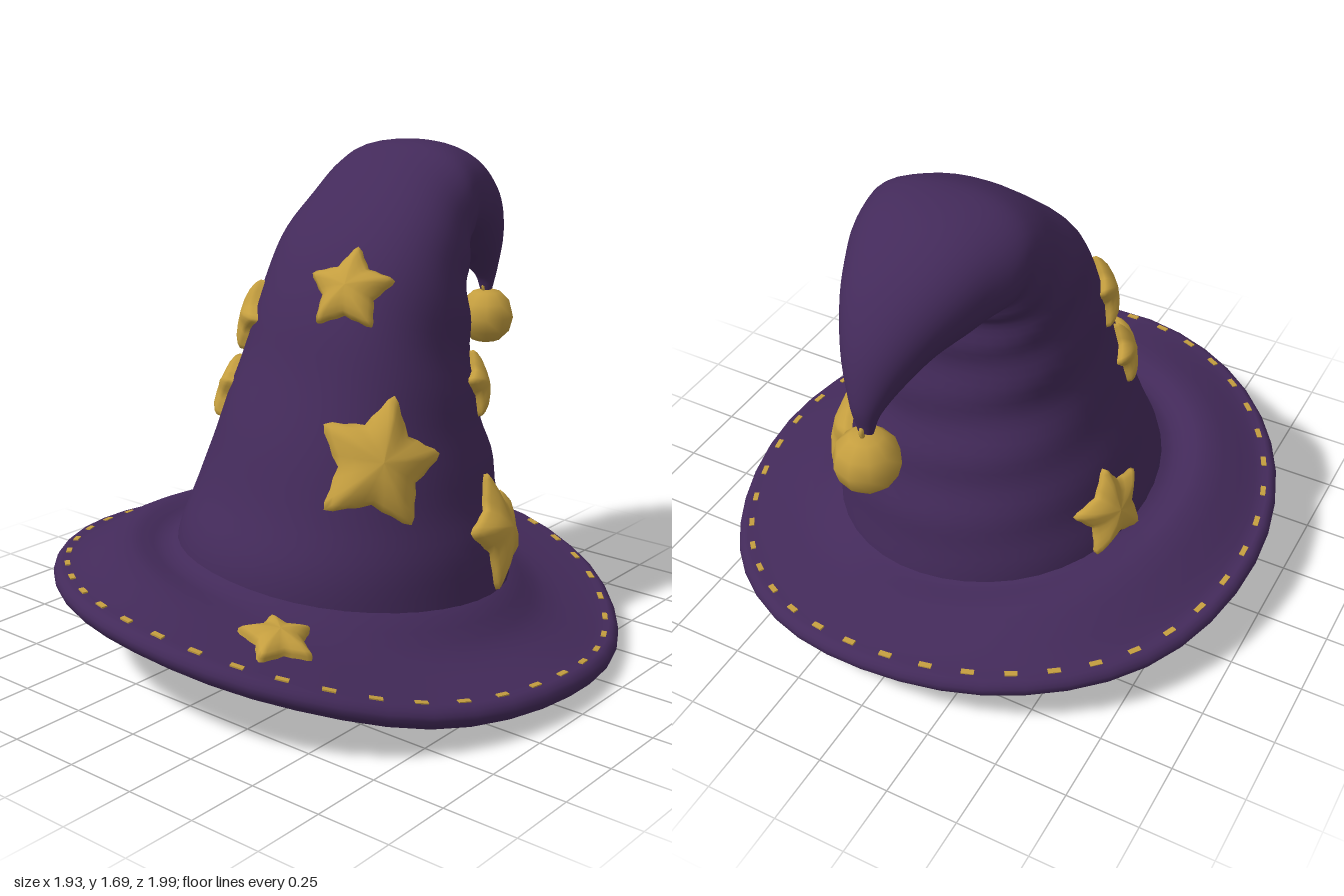
import * as THREE from 'three';

const V = (x, y, z) => new THREE.Vector3(x, y, z);
const TAU = Math.PI * 2;
const purple = new THREE.MeshStandardMaterial({ name: 'purple felt', color: 0x432a5a });
const gold = new THREE.MeshStandardMaterial({ name: 'gold', color: 0xc49e3f });

// Crown sections: front y, front z, back y, back z, half width, centre x
const sections = [
  [0.22, 0.58, 0.18, -0.615, 0.585, 0], [0.42, 0.55, 0.36, -0.595, 0.555, 0],
  [0.6, 0.455, 0.52, -0.56, 0.505, 0], [0.8, 0.365, 0.68, -0.52, 0.455, 0],
  [1.0, 0.265, 0.84, -0.475, 0.405, 0], [1.2, 0.175, 1.0, -0.455, 0.372, -0.01],
  [1.4, 0.04, 1.14, -0.445, 0.352, -0.02], [1.55, -0.13, 1.24, -0.45, 0.325, -0.03],
  [1.66, -0.3, 1.3, -0.47, 0.3, -0.04], [1.7, -0.43, 1.34, -0.5, 0.285, -0.04],
  [1.665, -0.6, 1.32, -0.56, 0.25, -0.035], [1.55, -0.76, 1.28, -0.64, 0.185, -0.02],
  [1.39, -0.87, 1.23, -0.74, 0.115, -0.01], [1.22, -0.915, 1.16, -0.835, 0.05, -0.01],
  [1.11, -0.9, 1.1, -0.865, 0.025, -0.01],
];
const spline = (pts, closed = false) => new THREE.CatmullRomCurve3(pts, closed, 'catmullrom', 0.5);
const frontLine = spline(sections.map(s => V(s[4], s[0], s[1])));
const backLine = spline(sections.map(s => V(s[5], s[2], s[3])));

// Crown surface: u runs base to tip, v runs round from the front toward +x
function crownAt(u, v) {
  u = THREE.MathUtils.clamp(u, 0, 1);
  const f = frontLine.getPoint(u), b = backLine.getPoint(u);
  const a = v * TAU, c = Math.cos(a), s = Math.sin(a);
  const back = (1 - c) / 2, fade = Math.sin(Math.PI * u);
  // slightly squared sections with soft folds, deepest at the back
  const k = 1 + fade * (0.055 * Math.sin(2 * a) ** 2
    + 0.025 * back * Math.sin(u * 62 + 2.5 * s) + 0.008 * Math.sin(u * 38 + 3 * a));
  return V(b.x + f.x * s * k,
    (f.y + b.y) / 2 + (f.y - b.y) / 2 * c * k,
    (f.z + b.z) / 2 + (f.z - b.z) / 2 * c * k);
}

// Wavy rim heights every 30 degrees, front first, then toward +x
const rim = spline([0.3, 0.22, 0.12, 0.08, 0.05, 0.12, 0.19, 0.19, 0.18, 0.235, 0.285, 0.31].map(y => V(y, 0, 0)), true);

// Brim surface: u runs from the underside centre over the rim to the crown
function brimAt(u, v) {
  u = THREE.MathUtils.clamp(u, 0, 1);
  const a = v * TAU, s = Math.sin(a), c = Math.cos(a);
  const e = rim.getPoint(((v % 1) + 1) % 1).x;
  const j = 0.305 - 0.05 * s + 0.045 * c;
  const ridge = 0.045 * (1 - s) - 0.015;
  const p = spline([
    V(0.001, 0.12, 0), V(0.45, 0.125, 0), V(0.7, 0.13 + (e - 0.18) * 0.25, 0), V(0.88, e - 0.035, 0),
    V(0.965, e - 0.04, 0), V(1, e, 0), V(0.98, e + 0.036, 0), V(0.92, e + 0.045, 0),
    V(0.74, e * 0.4 + j * 0.6 + ridge, 0), V(0.62, j + 0.005, 0), V(0.53, j + 0.04, 0),
  ]).getPoint(u);
  return V(p.x * s * 0.967, p.y, p.x * c * 0.997);
}

// Indexed grid closed around v
function loft(name, at, nu, nv, mat) {
  const pos = [], idx = [];
  for (let i = 0; i <= nu; i++) for (let j = 0; j < nv; j++) pos.push(...at(i / nu, j / nv).toArray());
  for (let i = 0; i < nu; i++) for (let j = 0; j < nv; j++) {
    const a = i * nv + j, b = i * nv + (j + 1) % nv;
    idx.push(a, b, a + nv, b, b + nv, a + nv);
  }
  const g = new THREE.BufferGeometry();
  g.setAttribute('position', new THREE.Float32BufferAttribute(pos, 3));
  g.setIndex(idx);
  g.computeVertexNormals();
  const m = new THREE.Mesh(g, mat);
  m.name = name;
  return m;
}

// Local frame on a surface: point, derivatives, normal, up and right
function frame(at, u, v, hint) {
  const d = 0.004, p = at(u, v);
  const pu = at(u + d, v).sub(at(u - d, v)).divideScalar(2 * d);
  const pv = at(u, v + d).sub(at(u, v - d)).divideScalar(2 * d);
  const n = pv.clone().cross(pu).normalize();
  const up = hint.clone().addScaledVector(n, -hint.dot(n)).normalize();
  return { p, pu, pv, n, up, right: up.clone().cross(n) };
}

function nearest(at, target) {
  let best = Infinity, uv = [0, 0];
  for (let i = 1; i < 140; i++) for (let j = 0; j < 140; j++) {
    const d = at(i / 140, j / 140).distanceToSquared(target);
    if (d < best) { best = d; uv = [i / 140, j / 140]; }
  }
  return uv;
}

// Puffy star patch that follows a surface
function star(name, at, target, r, turn, hint) {
  const [u, v] = nearest(at, target), f = frame(at, u, v, hint);
  const E = f.pu.dot(f.pu), F = f.pu.dot(f.pv), G = f.pv.dot(f.pv), det = E * G - F * F;
  // Ring scale and height, from the sewn edge to the padded middle
  const rings = [[1.01, -0.03], [1, 0.014], [0.9, 0.026], [0.68, 0.028 + r * 0.08], [0.35, 0.028 + r * 0.13], [0.001, 0.028 + r * 0.15]];
  const corner = k => {
    const a = turn + Math.PI / 2 + k * Math.PI / 5, q = k % 2 ? 0.57 * r : r;
    return [Math.cos(a) * q, Math.sin(a) * q];
  };
  const place = (t, w) => {
    const i = Math.round(t * 5), [sc, h] = rings[i];
    const k = Math.round(w * 40), c0 = corner(Math.floor(k / 4)), c1 = corner(Math.floor(k / 4) + 1), m = (k % 4) / 4;
    const blunt = k % 8 === 0 ? 0.97 : 1, fray = k % 2 && i < 2 ? 1.03 : 1;
    const x = (c0[0] + (c1[0] - c0[0]) * m) * sc * fray * blunt;
    const y = (c0[1] + (c1[1] - c0[1]) * m) * sc * fray * blunt;
    const d = f.right.clone().multiplyScalar(x).addScaledVector(f.up, y);
    const a = d.dot(f.pu), b = d.dot(f.pv);
    return at(u + (a * G - b * F) / det, v + (b * E - a * F) / det).addScaledVector(f.n, h);
  };
  return loft(name, place, 5, 40, gold);
}

export function createModel() {
  const hat = new THREE.Group();
  hat.name = 'hat';
  hat.add(loft('crown', crownAt, 64, 44, purple), loft('brim', brimAt, 30, 44, purple));

  // Star patches
  const up = V(0, 1, 0);
  [[V(0.39, 0.785, 0.265), 0.232, -0.28], [V(0.13, 1.28, 0.1), 0.158, 0],
    [V(0.36, 0.92, -0.34), 0.122, 0], [V(0.53, 0.46, -0.24), 0.205, 0.1],
    [V(-0.32, 1.12, 0.06), 0.13, -0.2], [V(-0.4, 0.88, 0.13), 0.122, 0.15],
    [V(-0.53, 0.48, -0.22), 0.165, 0.1],
  ].forEach(([t, r, turn], i) => hat.add(star('crownStar' + (i + 1), crownAt, t, r, turn, up)));
  hat.add(star('brimStar', brimAt, V(0.335, 0.31, 0.67), 0.13, -0.3, V(0, 0, -1)));

  // Half-sunk stitches round the brim
  const stitches = new THREE.Group();
  stitches.name = 'brimStitches';
  const thread = new THREE.BoxGeometry(0.042, 0.018, 0.009);
  for (let i = 0; i < 42; i++) {
    const v = (i + 0.5) / 42, f = frame(brimAt, 0.665, v, V(-Math.sin(v * TAU), 0, -Math.cos(v * TAU)));
    const m = new THREE.Mesh(thread, gold);
    m.name = 'stitch';
    m.quaternion.setFromRotationMatrix(new THREE.Matrix4().makeBasis(f.right, f.up, f.n));
    m.position.copy(f.p);
    stitches.add(m);
  }
  hat.add(stitches);

  // Bell hanging from the tip
  const bell = new THREE.Group();
  bell.name = 'bell';
  bell.position.set(-0.01, 1, -0.885);
  const part = (name, geo, y) => {
    const m = new THREE.Mesh(geo, gold);
    m.name = name;
    m.position.y = y;
    m.rotation.y = Math.PI / 2;
    bell.add(m);
  };
  part('bellBody', new THREE.SphereGeometry(0.106, 10, 6), 0);
  part('bellLoop', new THREE.TorusGeometry(0.022, 0.008, 6, 12), 0.115);
  hat.add(bell);
  return hat;
}
